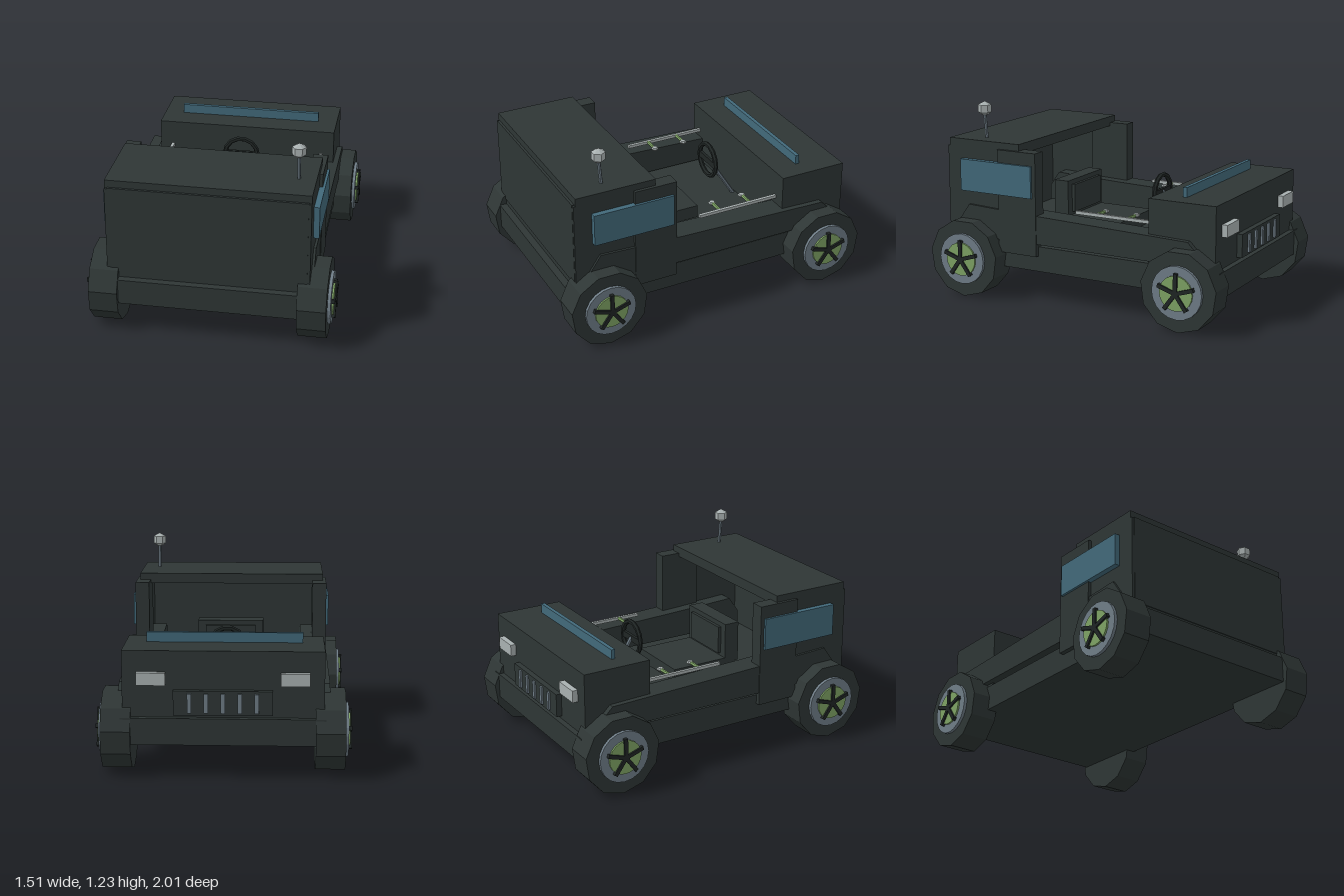
import * as THREE from 'three';

const mat = (name, color) => {
  const m = new THREE.MeshStandardMaterial({ color });
  m.name = name;
  return m;
};

export function createModel() {
  const body = mat('dark body', 0x2e3635);
  const black = mat('black trim', 0x1f2524);
  const glass = mat('blue glass', 0x42697a);
  const steel = mat('blue grey steel', 0x6f7d87);
  const green = mat('green', 0x7ea364);
  const pale = mat('pale grey', 0xa9b1b1);
  for (const m of [body, black, glass, steel, green, pale]) m.flatShading = true;

  const root = new THREE.Group();
  root.name = 'openTruck';

  const add = (name, geo, material, parent = root) => {
    const mesh = new THREE.Mesh(geo, material);
    mesh.name = name;
    parent.add(mesh);
    return mesh;
  };
  // Box given by its limits on each axis
  const box = (name, material, x0, x1, y0, y1, z0, z1, parent = root) => {
    const g = new THREE.BoxGeometry(Math.abs(x1 - x0), y1 - y0, z1 - z0);
    g.translate((x0 + x1) / 2, (y0 + y1) / 2, (z0 + z1) / 2);
    return add(name, g, material, parent);
  };
  // Straight rod between two points
  const rod = (name, material, a, b, r, sides = 6, parent = root) => {
    const p = new THREE.Vector3(...a), q = new THREE.Vector3(...b);
    const d = q.clone().sub(p);
    const mesh = add(name, new THREE.CylinderGeometry(r, r, d.length(), sides), material, parent);
    mesh.position.copy(p).add(q).multiplyScalar(0.5);
    mesh.quaternion.setFromUnitVectors(new THREE.Vector3(0, 1, 0), d.normalize());
    return mesh;
  };

  // Chassis, hood, cab back and roof
  box('chassis', body, -0.6, 0.6, 0.2, 0.36, -0.97, 0.97);
  box('hood', body, -0.59, 0.59, 0.36, 0.755, -0.935, -0.495);
  box('cabBack', body, -0.593, 0.593, 0.4, 0.95, 0.88, 0.93);
  box('cabBackSill', body, -0.56, 0.56, 0.36, 0.4, 0.88, 0.925);
  box('roof', body, -0.61, 0.61, 0.93, 0.995, 0.4, 0.915);
  box('windscreenStrip', glass, -0.465, 0.465, 0.755, 0.815, -0.685, -0.66);

  // Side panel outline, drawn with z across and y up
  const outline = new THREE.Shape([
    [0.84, 0.38], [0.84, 0.48], [0.77, 0.58], [0.54, 0.57], [0.27, 0.56],
    [-0.77, 0.53], [-0.83, 0.47], [-0.83, 0.38],
  ].map(([z, y]) => new THREE.Vector2(-z, y)));

  for (const s of [-1, 1]) {
    const side = s > 0 ? 'left' : 'right';
    const panel = new THREE.ExtrudeGeometry(outline, { depth: 0.16, bevelEnabled: false });
    panel.rotateY(Math.PI / 2);
    panel.translate(s > 0 ? 0.465 : -0.625, 0, 0);
    add(side + 'SidePanel', panel, body);
    box(side + 'CabWall', body, s * 0.56, s * 0.61, 0.36, 0.945, 0.54, 0.928);
    box(side + 'DoorPillar', body, s * 0.54, s * 0.63, 0.3, 0.953, 0.27, 0.545);
    box(side + 'Window', glass, s * 0.605, s * 0.645, 0.67, 0.872, 0.295, 0.815);
    box(side + 'Headlight', pale, s * 0.335, s * 0.505, 0.555, 0.63, -0.97, -0.93);

    // Rail with two green arms and their knobs
    box(side + 'Rail', pale, s * 0.496, s * 0.516, 0.577, 0.597, -0.5, 0.05);
    for (const z of [-0.31, -0.097]) {
      rod(side + 'RailArm', green, [s * 0.5, 0.588, z], [s * 0.4, 0.588, z], 0.011);
      const knob = add(side + 'RailKnob', new THREE.SphereGeometry(0.025, 6, 4), pale);
      knob.scale.y = 0.55;
      knob.position.set(s * 0.4, 0.588, z);
    }
  }

  // Grille plate with five bars
  box('grillePlate', body, -0.29, 0.29, 0.38, 0.525, -0.97, -0.93);
  for (let i = -2; i <= 2; i++)
    box('grilleBar', steel, i * 0.098 - 0.012, i * 0.098 + 0.012, 0.395, 0.51, -0.982, -0.96);

  // Seat
  box('seatCushion', body, -0.215, 0.215, 0.385, 0.47, -0.095, 0.36);
  box('seatBack', body, -0.215, 0.215, 0.44, 0.7, 0.285, 0.385);
  box('seatBackPad', body, -0.165, 0.165, 0.49, 0.67, 0.265, 0.29);

  // Steering wheel and column
  const ring = add('steeringWheel', new THREE.TorusGeometry(0.108, 0.016, 6, 14), black);
  ring.position.set(0, 0.655, -0.283);
  box('steeringSpoke', black, -0.105, 0.105, 0.635, 0.675, -0.293, -0.273);
  rod('steeringColumn', steel, [0, 0.66, -0.285], [0, 0.36, -0.475], 0.013);

  // Antenna with a six sided bulb
  rod('antennaRod', steel, [0.505, 0.99, 0.703], [0.505, 1.15, 0.716], 0.011);
  const bulb = add('antennaBulb', new THREE.LatheGeometry([
    [0, 1.14], [0.022, 1.142], [0.042, 1.158], [0.042, 1.205], [0, 1.228],
  ].map(([r, y]) => new THREE.Vector2(r, y)), 6, Math.PI / 6), pale);
  bulb.position.set(0.505, 0, 0.716);

  // Wheels, each built with its outside towards +x
  const disc = (name, material, r, x0, x1, sides, parent) => {
    const g = new THREE.CylinderGeometry(r, r, x1 - x0, sides);
    g.rotateZ(Math.PI / 2).rotateX(Math.PI / 2);
    g.translate((x0 + x1) / 2, 0, 0);
    add(name, g, material, parent);
  };
  for (const s of [-1, 1]) for (const z of [-0.755, 0.76]) {
    const wheel = new THREE.Group();
    wheel.name = (z < 0 ? 'hoodEnd' : 'cabEnd') + (s > 0 ? 'LeftWheel' : 'RightWheel');
    disc('tire', body, 0.248, 0.54, 0.716, 11, wheel);
    disc('rim', steel, 0.163, 0.7, 0.735, 20, wheel);
    disc('hubDisc', green, 0.107, 0.72, 0.746, 20, wheel);
    disc('hubCap', black, 0.022, 0.72, 0.757, 10, wheel);
    for (let i = 0; i < 5; i++) {
      const spoke = box('spoke', black, 0.73, 0.757, 0, 0.122, -0.012, 0.012, wheel);
      spoke.rotation.x = i * Math.PI * 0.4;
    }
    wheel.position.set(0, 0.248, z);
    if (s < 0) wheel.rotation.y = Math.PI;
    root.add(wheel);
  }
  return root;
}
